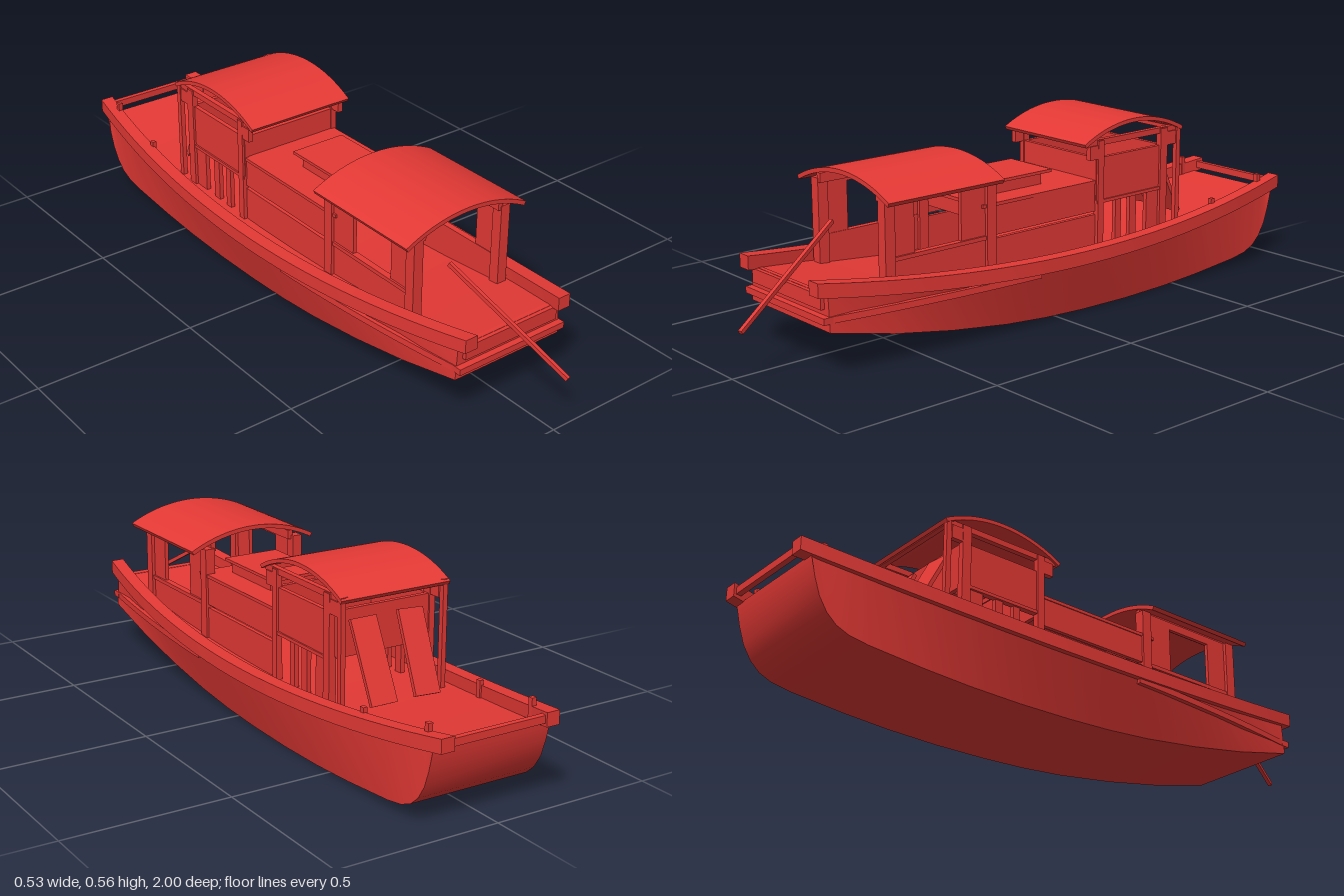
import * as THREE from 'three';
import { toCreasedNormals } from 'three/addons/utils/BufferGeometryUtils.js';

const material = new THREE.MeshStandardMaterial({ color: 0xe53935 });

// Hull lines as functions of z
const railOuter = z => 0.267 - 0.077 * ((z + 0.08) / 0.92) ** 2;
const railTop = z => 0.21 + 0.077 * (z + 0.1) ** 2;
const rect = (x0, x1, y0, y1, z) => [[x1, y0, z], [x1, y1, z], [x0, y1, z], [x0, y0, z]];

// Solid skin over four-cornered rings ordered towards +z
function loft(rings) {
  const pos = [];
  const quad = (a, b, c, d) => pos.push(...a, ...b, ...c, ...a, ...c, ...d);
  for (let s = 0; s < rings.length - 1; s++) {
    const a = rings[s], b = rings[s + 1];
    for (let i = 0; i < 4; i++) {
      const j = (i + 1) % 4;
      quad(a[i], a[j], b[j], b[i]);
    }
  }
  const first = rings[0], last = rings[rings.length - 1];
  quad(first[3], first[2], first[1], first[0]);
  quad(last[0], last[1], last[2], last[3]);
  const g = new THREE.BufferGeometry();
  g.setAttribute('position', new THREE.Float32BufferAttribute(pos, 3));
  return toCreasedNormals(g, 0.5);
}

// Curved roof sheet: arch in the xy plane, extruded along z
function archRoof(half, rise, top, thick, length) {
  const r = (half * half + rise * rise) / (2 * rise);
  const a = Math.asin(half / r), cy = top - r;
  const s = new THREE.Shape();
  s.absarc(0, cy, r, Math.PI / 2 - a, Math.PI / 2 + a, false);
  s.absarc(0, cy, r - thick, Math.PI / 2 + a, Math.PI / 2 - a, true);
  s.closePath();
  const g = new THREE.ExtrudeGeometry(s, { depth: length, bevelEnabled: false, curveSegments: 24 });
  return toCreasedNormals(g.translate(0, 0, -length / 2), 0.5);
}

export function createModel() {
  const model = new THREE.Group();
  const add = (name, geometry, parent = model) => {
    const m = new THREE.Mesh(geometry, material);
    m.name = name;
    parent.add(m);
    return m;
  };
  const group = name => {
    const g = new THREE.Group();
    g.name = name;
    model.add(g);
    return g;
  };
  // Box given by its limits
  const box = (name, x0, x1, y0, y1, z0, z1, parent) => {
    const m = add(name, new THREE.BoxGeometry(x1 - x0, y1 - y0, z1 - z0), parent);
    m.position.set((x0 + x1) / 2, (y0 + y1) / 2, (z0 + z1) / 2);
    return m;
  };
  const pair = (name, x0, x1, ...rest) => {
    box(name, x0, x1, ...rest);
    box(name, -x1, -x0, ...rest);
  };
  const range = (z0, z1, n) => Array.from({ length: n + 1 }, (_, i) => z0 + (z1 - z0) * i / n);

  // Hull: keel profile [z, y] with a rounded bow
  const keel = [[-0.965, 0.225], [-0.952, 0.17], [-0.935, 0.12], [-0.91, 0.08], [-0.88, 0.053],
    [-0.84, 0.036], [-0.78, 0.026], [-0.6, 0.011], [-0.45, 0.003], [-0.28, 0], [-0.1, 0.003], [0.05, 0.01],
    [0.2, 0.023], [0.4, 0.05], [0.6, 0.086], [0.81, 0.135]];
  add('hull', loft(keel.map(([z, y]) => {
    const bottom = 0.197 - 0.01 * (z + 0.1) ** 2;
    const top = Math.max(railOuter(z) - 0.015, bottom - 0.006);
    const deck = railTop(z) - 0.037;
    return [[bottom, y, z], [top, deck, z], [-top, deck, z], [-bottom, y, z]];
  })));

  // Gunwale rails and aft rubbing strakes
  for (const side of [1, -1]) {
    const band = (z, outer, inner, y0, y1) =>
      rect(Math.min(side * outer, side * inner), Math.max(side * outer, side * inner), y0, y1, z);
    add('gunwale', loft(range(-1, 0.845, 28).map(z =>
      band(z, railOuter(z), railOuter(z) - 0.042, railTop(z) - 0.041, railTop(z)))));
    add('rubbingStrake', loft(range(0.12, 0.825, 10).map(z =>
      band(z, railOuter(z) - 0.007, railOuter(z) - 0.04, 0.16, 0.179))));
  }
  box('sternStrake', -0.19, 0.19, 0.16, 0.179, 0.8, 0.83);
  box('sternBeam', -0.165, 0.165, 0.195, 0.236, 0.795, 0.822);
  box('bowBar', -0.16, 0.16, 0.24, 0.262, -0.992, -0.975);
  pair('bollard', 0.16, 0.175, 0.2, 0.285, -0.925, -0.91);
  pair('bollard', 0.187, 0.2, 0.18, 0.25, -0.675, -0.66);

  // Aft cabin: walls with a window, beams and an arched roof
  const wall = new THREE.Shape();
  wall.moveTo(-0.61, 0.18).lineTo(-0.22, 0.18).lineTo(-0.22, 0.462).lineTo(-0.61, 0.462).closePath();
  const pane = new THREE.Path();
  pane.moveTo(-0.505, 0.29).lineTo(-0.505, 0.437).lineTo(-0.34, 0.437).lineTo(-0.34, 0.29).closePath();
  wall.holes.push(pane);
  for (const x of [0.15, -0.162]) {
    const g = new THREE.ExtrudeGeometry(wall, { depth: 0.012, bevelEnabled: false });
    g.rotateY(Math.PI / 2).translate(x, 0, 0);
    add('aftCabinWall', g);
  }
  for (const z of [0.595, 0.235]) pair('aftCabinPost', 0.14, 0.172, 0.18, 0.462, z - 0.017, z + 0.017);
  pair('aftCabinBeam', 0.13, 0.146, 0.45, 0.478, 0.23, 0.61);
  pair('aftWindowSill', 0.148, 0.168, 0.28, 0.292, 0.24, 0.59);
  add('aftRoof', archRoof(0.215, 0.053, 0.514, 0.013, 0.405)).position.z = 0.427;

  // Middle cabin: slatted sides, flat roof and hatch
  pair('midLowerSide', 0.152, 0.165, 0.16, 0.278, -0.18, 0.22);
  pair('midUpperSide', 0.152, 0.165, 0.288, 0.376, -0.18, 0.22);
  box('midHeader', -0.155, 0.155, 0.315, 0.376, 0.205, 0.219);
  box('midRoof', -0.168, 0.168, 0.374, 0.384, -0.19, 0.265);
  box('hatch', -0.065, 0.09, 0.384, 0.419, -0.025, 0.2);
  box('hatchLid', -0.078, 0.103, 0.418, 0.427, -0.055, 0.22);

  // Fore cabin: upper panels above open slats
  pair('foreSidePanel', 0.156, 0.17, 0.315, 0.452, -0.47, -0.175);
  for (const z of [-0.185, -0.463]) box('foreEndPanel', -0.158, 0.158, 0.315, 0.452, z - 0.007, z + 0.007);
  pair('foreSidePlank', 0.154, 0.168, 0.165, 0.322, -0.475, -0.395);
  for (const [z, w] of [[-0.273, 0.024], [-0.336, 0.028]])
    pair('foreSlat', 0.154, 0.168, 0.16, 0.32, z - w / 2, z + w / 2);
  pair('foreRail', 0.156, 0.175, 0.312, 0.322, -0.475, -0.175);
  pair('foreCornerPost', 0.158, 0.177, 0.16, 0.505, -0.202, -0.178);
  pair('foreCornerPost', 0.158, 0.177, 0.16, 0.505, -0.475, -0.445);
  pair('bowPost', 0.162, 0.177, 0.18, 0.508, -0.532, -0.515);
  pair('foreRoofBeam', 0.155, 0.172, 0.49, 0.508, -0.53, -0.135);
  for (const z of [-0.17, -0.487]) pair('foreBracket', 0.16, 0.176, 0.45, 0.492, z - 0.025, z + 0.025);
  for (const z of [-0.142, -0.522]) box('foreCrossBeam', -0.172, 0.172, 0.49, 0.505, z - 0.008, z + 0.008);
  const foreRoof = add('foreRoof', archRoof(0.21, 0.054, 0.556, 0.012, 0.36));
  foreRoof.rotation.y = Math.PI / 2;
  foreRoof.position.z = -0.329;

  // Loose boards leaning on the fore cabin
  const boards = group('leaningBoards');
  for (const [x, turn] of [[-0.074, 0.05], [0.077, 0]]) {
    const b = add('leaningBoard', new THREE.BoxGeometry(0.085, 0.245, 0.012), boards);
    b.position.set(x, 0.317, -0.541);
    b.rotation.set(0.46, turn, turn);
  }

  // Steering oar at the stern
  const from = new THREE.Vector3(0.045, 0.142, 0.995), to = new THREE.Vector3(-0.057, 0.358, 0.625);
  const oar = add('steeringOar', new THREE.BoxGeometry(0.012, 0.012, from.distanceTo(to)));
  oar.position.copy(from).add(to).multiplyScalar(0.5);
  oar.lookAt(to);

  return model;
}
